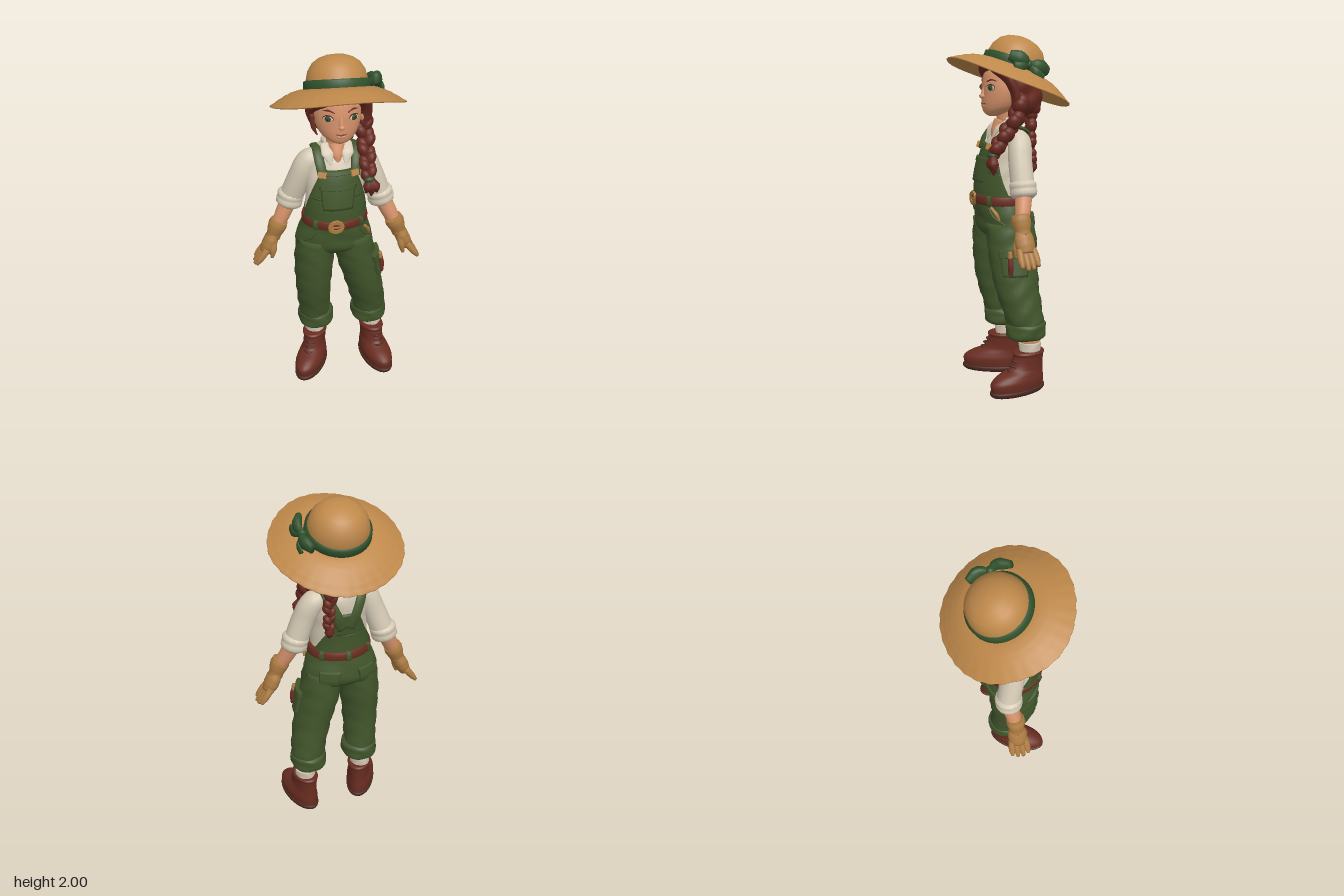
import * as THREE from 'three';

const mat = (name, color, side = THREE.FrontSide) => {
  const m = new THREE.MeshStandardMaterial({ color, side });
  m.name = name;
  return m;
};
const V = (p) => new THREE.Vector3(...p);

// Surface through rings of points; closed rings are capped at both ends
function skinRings(rings, closed = true) {
  const n = rings[0].length, pos = [], idx = [];
  rings.forEach((r) => r.forEach((p) => pos.push(...p)));
  for (let j = 0; j < rings.length - 1; j++)
    for (let i = 0; i < (closed ? n : n - 1); i++) {
      const k = (i + 1) % n, a = j * n + i, b = j * n + k, c = b + n, d = a + n;
      idx.push(a, b, c, a, c, d);
    }
  if (closed) [0, rings.length - 1].forEach((j) => {
    const mid = [0, 1, 2].map((c) => rings[j].reduce((s, p) => s + p[c], 0) / n);
    const m = pos.length / 3;
    pos.push(...mid);
    for (let i = 0; i < n; i++) {
      const a = j * n + i, b = j * n + ((i + 1) % n);
      idx.push(...(j ? [a, b, m] : [b, a, m]));
    }
  });
  const g = new THREE.BufferGeometry();
  g.setAttribute('position', new THREE.Float32BufferAttribute(pos, 3));
  g.setIndex(idx);
  g.computeVertexNormals();
  return g;
}

// Rows are [y, centreX, centreZ, radiusX, radiusZ], upward; smooth lookup by height
function rowAt(rows, y) {
  let i = 0;
  while (i < rows.length - 2 && y > rows[i + 1][0]) i++;
  const a = rows[i], b = rows[i + 1], p = rows[i - 1] || a, q = rows[i + 2] || b, h = b[0] - a[0];
  const t = (y - a[0]) / h, t2 = t * t, t3 = t2 * t;
  return [1, 2, 3, 4].map((c) => {
    const m0 = (b[c] - p[c]) / (b[0] - p[0]) * h, m1 = (q[c] - a[c]) / (q[0] - a[0]) * h;
    return (2 * t3 - 3 * t2 + 1) * a[c] + (t3 - 2 * t2 + t) * m0 + (3 * t2 - 2 * t3) * b[c] + (t3 - t2) * m1;
  });
}
// Angle 0 faces +z, a quarter turn faces +x
function pointOn(rows, y, a, off = 0) {
  const [cx, cz, rx, rz] = rowAt(rows, y);
  return [cx + (rx + off) * Math.sin(a), y, cz + (rz + off) * Math.cos(a)];
}
function loft(rows, fold = 0, n = 32) {
  const rings = [];
  for (let s = 0; s <= (rows.length - 1) * 5; s++) {
    const k = Math.min(Math.floor(s / 5), rows.length - 2), t = s / 5 - k;
    const y = rows[k][0] + (rows[k + 1][0] - rows[k][0]) * t;
    rings.push(Array.from({ length: n }, (_, i) => {
      const a = i / n * Math.PI * 2;
      return pointOn(rows, y, a, fold * Math.sin(y * 55 + 3 * Math.sin(a * 2)));
    }));
  }
  return skinRings(rings);
}
// Raised cloth panel on a lofted body: height range, centre angle, half-widths
function patch(rows, y0, y1, c, w0, w1, off) {
  const rings = [], nv = 10, nu = 20;
  for (let j = -1; j <= nv + 1; j++) {
    const t = Math.min(Math.max(j / nv, 0), 1), ring = [];
    for (let i = -1; i <= nu + 1; i++) {
      const u = Math.min(Math.max(i / nu, 0), 1) * 2 - 1, edge = j < 0 || j > nv || i < 0 || i > nu;
      ring.push(pointOn(rows, y0 + (y1 - y0) * t, c + u * (w0 + (w1 - w0) * t), edge ? -0.004 : off));
    }
    rings.push(ring);
  }
  return skinRings(rings, false);
}
// Tapered tube along a curve; ka scales the width along ref, kb across it
function sweep(points, radii, ref = [1, 0, 0], ka = 1, kb = 1, n = 14) {
  const curve = new THREE.CatmullRomCurve3(points.map(V)), rings = [], steps = (points.length - 1) * 6;
  for (let j = 0; j <= steps; j++) {
    const u = j / steps, f = u * (radii.length - 1), k = Math.min(Math.floor(f), radii.length - 2);
    const r = THREE.MathUtils.lerp(radii[k], radii[k + 1], f - k);
    const c = curve.getPoint(u), T = curve.getTangent(u);
    const S = V(ref).addScaledVector(T, -V(ref).dot(T)).normalize(), N = T.clone().cross(S);
    rings.push(Array.from({ length: n }, (_, i) => {
      const a = i / n * Math.PI * 2;
      return c.clone().addScaledVector(S, Math.cos(a) * r * ka).addScaledVector(N, Math.sin(a) * r * kb).toArray();
    }));
  }
  return skinRings(rings);
}
const ball = (p, s) => new THREE.SphereGeometry(1, 20, 14).scale(...s).translate(...p);

export function createModel() {
  const D = THREE.DoubleSide;
  const straw = mat('straw', 0xbe884a, D), denim = mat('green cloth', 0x41552b, D), ribbon = mat('ribbon green', 0x31522d), hair = mat('auburn hair', 0x67291f);
  const skin = mat('skin', 0xd6926a), cream = mat('cream cotton', 0xd4c9b4, D), leather = mat('red brown leather', 0x692d21);
  const sole = mat('dark sole', 0x4c2a21), hide = mat('tan glove', 0xac7b42), brass = mat('brass', 0xa97a3e);
  const root = new THREE.Group();
  const add = (name, geo, m, parent = root) => {
    const o = new THREE.Mesh(geo, m);
    o.name = name;
    parent.add(o);
    return o;
  };

  // Trousers and legs
  const pelvis = [[0.85, -0.005, 0.01, 0.08, 0.06], [0.875, -0.008, 0.012, 0.17, 0.115], [0.92, -0.012, 0.013, 0.218, 0.152], [0.98, -0.012, 0.015, 0.215, 0.156], [1.04, -0.01, 0.024, 0.193, 0.153], [1.1, -0.01, 0.035, 0.172, 0.148]];
  add('trouserSeat', loft(pelvis, 0.002), denim);
  const legs = [
    [[0.33, -0.118, -0.03, 0.088, 0.1], [0.42, -0.125, -0.022, 0.093, 0.11], [0.6, -0.134, 0.008, 0.102, 0.128], [0.8, -0.128, 0.012, 0.113, 0.144], [0.96, -0.118, 0.015, 0.108, 0.14]],
    [[0.33, 0.212, -0.03, 0.09, 0.1], [0.42, 0.21, -0.022, 0.1, 0.11], [0.6, 0.17, 0.008, 0.11, 0.128], [0.8, 0.12, 0.012, 0.118, 0.144], [0.96, 0.094, 0.015, 0.109, 0.14]],
  ];
  legs.forEach((rows, k) => {
    const x = k ? 0.212 : -0.117;
    add('trouserLeg', loft(rows, 0.004), denim);
    add('trouserCuff', loft([[0.305, x, -0.03, 0.088, 0.1], [0.32, x, -0.03, 0.103, 0.115], [0.36, x, -0.03, 0.106, 0.117], [0.39, x, -0.03, 0.104, 0.114], [0.405, x, -0.03, 0.085, 0.095]], 0.003), denim);
    const ax = k ? 0.237 : -0.122;
    add('shin', loft([[0.25, ax, -0.045, 0.05, 0.055], [0.36, ax, -0.04, 0.062, 0.067]]), skin);
    add('sock', loft([[0.2, ax, -0.045, 0.056, 0.06], [0.26, ax, -0.045, 0.06, 0.064], [0.286, ax, -0.045, 0.06, 0.064]], 0.002), cream);

    // Boot
    const boot = new THREE.Group();
    boot.name = 'boot';
    boot.position.set(ax, 0, -0.035);
    boot.rotation.y = k ? 0.2 : -0.5;
    root.add(boot);
    add('bootSole', loft([[0, 0, 0.075, 0.078, 0.168], [0.01, 0, 0.075, 0.084, 0.178], [0.028, 0, 0.075, 0.084, 0.178], [0.034, 0, 0.075, 0.07, 0.16]]), sole, boot);
    add('bootUpper', loft([[0.026, 0, 0.075, 0.078, 0.17], [0.075, 0, 0.076, 0.083, 0.172], [0.11, 0, 0.055, 0.074, 0.148], [0.14, 0, 0.018, 0.064, 0.11], [0.21, 0, 0, 0.066, 0.095], [0.226, 0, 0, 0.071, 0.1], [0.237, 0, 0, 0.062, 0.09]]), leather, boot);
    for (let i = 0; i < 3; i++) {
      const y = 0.132 + i * 0.026, z = 0.137 - i * 0.016;
      add('bootLace', sweep([[-0.03, y, z - 0.018], [0, y + 0.006, z + 0.002], [0.03, y, z - 0.018]], [0.005, 0.006, 0.005], [0, 0, 1]), sole, boot);
    }
  });
  for (const s of [-1, 1]) {
    add('backPocket', patch(pelvis, 0.9, 1.0, Math.PI + s * 0.55, 0.24, 0.3, 0.012), denim);
    add('hipPocketSeam', sweep([[-0.01 + s * 0.12, 1.05, 0.156], [-0.01 + s * 0.15, 1.0, 0.136], [-0.01 + s * 0.2, 0.955, 0.077]], [0.005, 0.006, 0.004]), denim);
  }
  add('thighPocket', patch(legs[1], 0.68, 0.81, 1.25, 0.48, 0.48, 0.018), denim);
  add('thighPocketFlap', patch(legs[1], 0.785, 0.825, 1.25, 0.52, 0.52, 0.025), denim);
  add('toolHandle', sweep([[0.262, 0.695, 0.085], [0.262, 0.745, 0.085], [0.257, 0.79, 0.085]], [0.013, 0.017, 0.013]), leather);
  add('toolCollar', sweep([[0.257, 0.785, 0.085], [0.251, 0.825, 0.085]], [0.014, 0.011]), brass);

  // Shirt, bib and belt
  const torso = [[1.05, -0.01, 0.035, 0.17, 0.138], [1.2, -0.01, 0.034, 0.165, 0.132], [1.35, -0.005, 0.01, 0.16, 0.122], [1.44, 0, -0.01, 0.148, 0.104], [1.49, 0, -0.014, 0.115, 0.08], [1.53, 0, -0.01, 0.062, 0.058]];
  add('shirt', loft(torso, 0.002), cream);
  add('bib', patch(torso, 1.08, 1.25, 0, 1.55, 1.05, 0.014), denim);
  add('bibTop', patch(torso, 1.24, 1.4, 0, 1.08, 0.58, 0.014), denim);
  add('bibHem', patch(torso, 1.38, 1.402, 0, 0.66, 0.6, 0.02), denim);
  add('bibPocket', patch(torso, 1.19, 1.325, -0.03, 0.46, 0.56, 0.022), denim);
  add('bibPocketHem', patch(torso, 1.302, 1.327, -0.03, 0.57, 0.58, 0.026), denim);
  add('backPanel', patch(torso, 1.08, 1.23, Math.PI, 1.35, 0.72, 0.013), denim);
  add('backYoke', patch(torso, 1.22, 1.36, Math.PI, 0.74, 0.4, 0.013), denim);
  for (const s of [-1, 1]) {
    add('strap', sweep([[s * 0.088, 1.37, 0.124], [s * 0.1, 1.44, 0.092], [s * 0.106, 1.5, 0.02], [s * 0.1, 1.47, -0.085], [s * 0.06, 1.37, -0.122], [s * 0.02, 1.27, -0.114]], [0.027, 0.027, 0.027, 0.032], [1, 0, 0], 1, 0.4), denim);
    add('strapBuckle', new THREE.BoxGeometry(0.046, 0.032, 0.014).rotateX(-0.3).rotateY(s * 0.4).translate(s * 0.09 - 0.006, 1.392, 0.137), straw);
  }
  const belt = [[1.06, -0.01, 0.034, 0.175, 0.14], [1.067, -0.01, 0.034, 0.188, 0.16], [1.112, -0.01, 0.036, 0.184, 0.16], [1.12, -0.01, 0.036, 0.17, 0.14]];
  add('belt', loft(belt), leather);
  for (const a of [-0.75, 0.75, 2.3, 3.14, 4])
    add('beltLoop', patch(belt, 1.061, 1.119, a, 0.07, 0.07, 0.01), denim);
  const frame = new THREE.Shape().absellipse(0, 0, 0.043, 0.038, 0, Math.PI * 2);
  frame.holes.push(new THREE.Path().absellipse(0, 0, 0.026, 0.021, 0, Math.PI * 2, true));
  add('beltBuckle', new THREE.ExtrudeGeometry(frame, { depth: 0.008, bevelSize: 0.003, bevelThickness: 0.003, bevelSegments: 2 }).translate(-0.03, 1.09, 0.191), brass);
  add('bucklePin', new THREE.BoxGeometry(0.05, 0.01, 0.008).translate(-0.03, 1.09, 0.2), brass);
  add('hipClip', sweep([[0.14, 1.06, 0.155], [0.165, 1.02, 0.13], [0.175, 0.985, 0.115]], [0.008, 0.012, 0.006]), brass);

  // Neck, open collar and shirt front
  add('neck', sweep([[0, 1.42, 0.012], [0, 1.5, 0.005], [0.005, 1.62, 0.01]], [0.055, 0.052, 0.055]), skin);
  add('openNeck', sweep([[0, 1.425, 0.09], [0, 1.475, 0.075], [0, 1.53, 0.045]], [0.006, 0.03, 0.045], [1, 0, 0], 1, 0.6), skin);
  add('collarBack', sweep([[-0.06, 1.525, 0.03], [-0.065, 1.525, -0.03], [0, 1.53, -0.075], [0.065, 1.525, -0.03], [0.06, 1.525, 0.03]], [0.024, 0.026, 0.024], [0, 1, 0], 1, 0.4), cream);
  for (const s of [-1, 1])
    add('collarFlap', sweep([[s * 0.064, 1.53, 0.025], [s * 0.054, 1.49, 0.075], [s * 0.04, 1.43, 0.108]], [0.024, 0.036, 0.004], [1, 0, 0], 1, 0.3), cream);

  // Arms and gloves; the model's right arm hangs further back
  for (const s of [-1, 1]) {
    const z = s > 0 ? 0.058 : -0.028, ze = s > 0 ? 0.01 : -0.05, dx = s > 0 ? 0.01 : 0, P = (x, y, zz) => [s * (x + dx), y, zz];
    add('sleeve', sweep([P(0.09, 1.445, -0.012), P(0.148, 1.415, -0.01), P(0.194, 1.32, ze * 0.4), P(0.245, 1.18, ze)], [0.05, 0.064, 0.068, 0.067, 0.067]), cream);
    add('sleeveCuff', sweep([P(0.24, 1.22, ze), P(0.25, 1.175, ze), P(0.264, 1.12, ze)], [0.055, 0.074, 0.077, 0.073, 0.077, 0.074, 0.05]), cream);
    add('forearm', sweep([P(0.258, 1.16, ze), P(0.3, 1.07, (z + ze) / 2), P(0.345, 0.98, z)], [0.05, 0.045, 0.035]), skin);
    add('gloveCuff', sweep([P(0.318, 1.04, z), P(0.342, 0.985, z), P(0.36, 0.935, z)], [0.05, 0.055, 0.05, 0.043, 0.042]), hide);
    add('palm', sweep([P(0.352, 0.965, z), P(0.378, 0.905, z), P(0.408, 0.845, z)], [0.04, 0.055, 0.056, 0.044], [0, 0, 1], 1, 0.75), hide);
    for (let i = 0; i < 4; i++) {
      const o = (i - 1.5) * 0.026, len = [0.88, 1, 0.97, 0.85][3 - i];
      add('finger', sweep([P(0.4, 0.87, z + o), P(0.4 + 0.04 * len, 0.87 - 0.052 * len, z + o * 1.15), P(0.4 + 0.075 * len, 0.87 - 0.098 * len, z + o * 1.2)], [0.019, 0.02, 0.018, 0.01], [0, 0, 1]), hide);
    }
    add('thumb', sweep([P(0.36, 0.925, z + 0.025), P(0.366, 0.87, z + 0.042), P(0.375, 0.82, z + 0.045)], [0.022, 0.021, 0.01], [0, 0, 1]), hide);
  }

  // Head and face
  const head = [[1.558, 0.008, 0.085, 0.02, 0.025], [1.575, 0.008, 0.075, 0.06, 0.06], [1.615, 0.008, 0.04, 0.104, 0.106], [1.68, 0.008, 0.02, 0.128, 0.126], [1.75, 0.008, 0.01, 0.128, 0.132], [1.82, 0.008, 0, 0.11, 0.118], [1.86, 0.008, -0.01, 0.06, 0.07]];
  add('face', loft(head), skin);
  const onFace = (a, y, off) => pointOn(head, y, a, off);
  add('nose', ball([0.008, 1.67, 0.148], [0.018, 0.015, 0.02]), skin);
  add('noseBridge', sweep([[0.008, 1.73, 0.134], [0.008, 1.67, 0.148]], [0.009, 0.014]), skin);
  add('mouth', sweep([-0.25, 0, 0.25].map((a) => onFace(a, a ? 1.629 : 1.624, 0.001)), [0.002, 0.004, 0.002], [0, 1, 0]), leather);
  add('lowerLip', ball(onFace(0, 1.615, 0), [0.022, 0.008, 0.007]), skin);
  for (const s of [-1, 1]) {
    const plate = (name, y, r, h, off, m) => {
      const e = add(name, new THREE.SphereGeometry(1, 20, 12).scale(r, h, 0.004), m);
      e.position.set(...onFace(s * 0.55, y, off));
      e.rotation.y = s * 0.5;
    };
    plate('eyeLid', 1.719, 0.031, 0.019, 0.001, sole);
    plate('eyeWhite', 1.716, 0.028, 0.016, 0.003, cream);
    plate('iris', 1.717, 0.018, 0.016, 0.006, ribbon);
    plate('pupil', 1.717, 0.007, 0.008, 0.009, sole);
    add('eyebrow', sweep([0.28, 0.55, 0.8].map((a, i) => onFace(s * a, [1.75, 1.761, 1.754][i], 0.001)), [0.003, 0.005, 0.002], [0, 1, 0]), hair);
    add('ear', ball([0.008 + s * 0.137, 1.675, 0.015], [0.014, 0.036, 0.026]), skin);
  }

  // Hair: back mass, swept fringe, loose locks and two braids
  add('hairBack', loft([[1.55, 0.02, -0.1, 0.05, 0.04], [1.575, 0.015, -0.1, 0.108, 0.08], [1.62, 0.012, -0.085, 0.138, 0.112], [1.69, 0.01, -0.064, 0.15, 0.13], [1.77, 0.01, -0.042, 0.15, 0.13], [1.86, 0.01, -0.025, 0.1, 0.1]], 0.005), hair);
  const Z = [0, 0, 1];
  add('fringeRight', sweep([[0.06, 1.86, 0.105], [-0.02, 1.84, 0.12], [-0.095, 1.805, 0.098], [-0.142, 1.74, 0.045], [-0.138, 1.66, 0.025]], [0.04, 0.046, 0.042, 0.028, 0.006], Z, 0.7, 1), hair);
  add('fringeLeft', sweep([[0.03, 1.865, 0.105], [0.095, 1.838, 0.108], [0.152, 1.77, 0.055], [0.166, 1.69, 0.018], [0.16, 1.61, 0.008]], [0.038, 0.044, 0.038, 0.036, 0.034], Z, 0.7, 1), hair);
  add('looseLock', sweep([[-0.137, 1.72, 0.055], [-0.13, 1.65, 0.068], [-0.11, 1.605, 0.075]], [0.014, 0.012, 0.003]), hair);
  const braid = (name, pts, count, size) => {
    const c = new THREE.CatmullRomCurve3(pts.map(V));
    for (let i = 0; i < count; i++) {
      const p = c.getPoint(i / (count - 1)), s = i % 2 ? 1 : -1, r = size * (1 - 0.25 * i / count);
      for (const k of [s, -s * 0.8]) {
        const b = add(name, new THREE.SphereGeometry(1, 14, 10).scale(r * 0.75, r * 1.05, r * 0.9), hair);
        b.position.set(p.x + k * r * 0.38, p.y - (k === s ? 0 : r * 0.5), p.z);
        b.rotation.z = k > 0 ? -0.5 : 0.5;
      }
    }
  };
  braid('frontBraid', [[0.15, 1.66, -0.02], [0.164, 1.56, 0.015], [0.162, 1.46, 0.085], [0.16, 1.385, 0.135]], 8, 0.05);
  add('braidTie', ball([0.16, 1.354, 0.15], [0.033, 0.02, 0.031]), ribbon);
  for (const s of [-1, 0, 1])
    add('braidTuft', sweep([[0.165, 1.35, 0.15], [0.175 + s * 0.02, 1.305, 0.158], [0.175 + s * 0.032, 1.245 + Math.abs(s) * 0.02, 0.15]], [0.02, 0.029, 0.005]), hair);
  braid('backBraid', [[0.06, 1.59, -0.125], [0.09, 1.48, -0.108], [0.1, 1.31, -0.112]], 8, 0.039);
  add('backBraidEnd', sweep([[0.1, 1.31, -0.115], [0.1, 1.265, -0.118], [0.1, 1.23, -0.112]], [0.022, 0.027, 0.005]), hair);

  // Wide straw hat, tilted back, with ribbon and bow
  const hat = new THREE.Group();
  hat.name = 'hat';
  hat.position.set(0.017, 1.743, 0);
  hat.rotation.set(-0.38, 0, -0.02);
  root.add(hat);
  const brim = [[0.14, 0.076]];
  for (let i = 1; i <= 12; i++) brim.push([0.14 + i * 0.0188, 0.076 - 0.00005 * i * i - i * 0.0062]);
  for (let i = 0; i <= 12; i++) brim.push([0.366 - i * 0.0165, 0.001 + 0.085 * Math.sin(i / 12 * 1.57)]);
  const crown = [[0.166, 0.13], [0.155, 0.178], [0.128, 0.22], [0.09, 0.246], [0.045, 0.26], [0, 0.263]];
  const hatGeo = new THREE.LatheGeometry([...brim, ...crown].map((p) => new THREE.Vector2(...p)), 120);
  const hp = hatGeo.attributes.position;
  for (let i = 0; i < hp.count; i++) {
    const x = hp.getX(i), z = hp.getZ(i), r = Math.hypot(x, z), a = Math.atan2(x, z), w = Math.max(0, (r - 0.17) / 0.195);
    const k = 1 + w * w * (0.006 * Math.sin(a * 30) + 0.008 * Math.sin(a * 5));
    hp.setXYZ(i, x * k, hp.getY(i) + w * (0.006 * Math.sin(a * 3 + 1) + 0.003 * Math.sin(r * 160)), z * k);
  }
  hatGeo.computeVertexNormals();
  add('strawHat', hatGeo, straw, hat);
  add('hatBand', new THREE.LatheGeometry([[0.166, 0.076], [0.182, 0.08], [0.179, 0.124], [0.163, 0.132]].map((p) => new THREE.Vector2(...p)), 64), ribbon, hat);
  add('bowKnot', ball([0.198, 0.112, 0.005], [0.024, 0.027, 0.025]), ribbon, hat);
  for (const s of [-1, 1]) {
    add('bowLoop', sweep([[0.198, 0.112, 0], [0.21, 0.122, s * 0.05], [0.182, 0.122, s * 0.12]], [0.014, 0.034, 0.042, 0.028], [0, 1, 0], 1, 0.65), ribbon, hat);
    add('bowTail', sweep([[0.2, 0.108, 0], [0.232, 0.088, s * 0.04], [0.228, 0.07, s * 0.09]], [0.012, 0.022, 0.026], [0, 1, 0], 1, 0.4), ribbon, hat);
  }
  return root;
}
